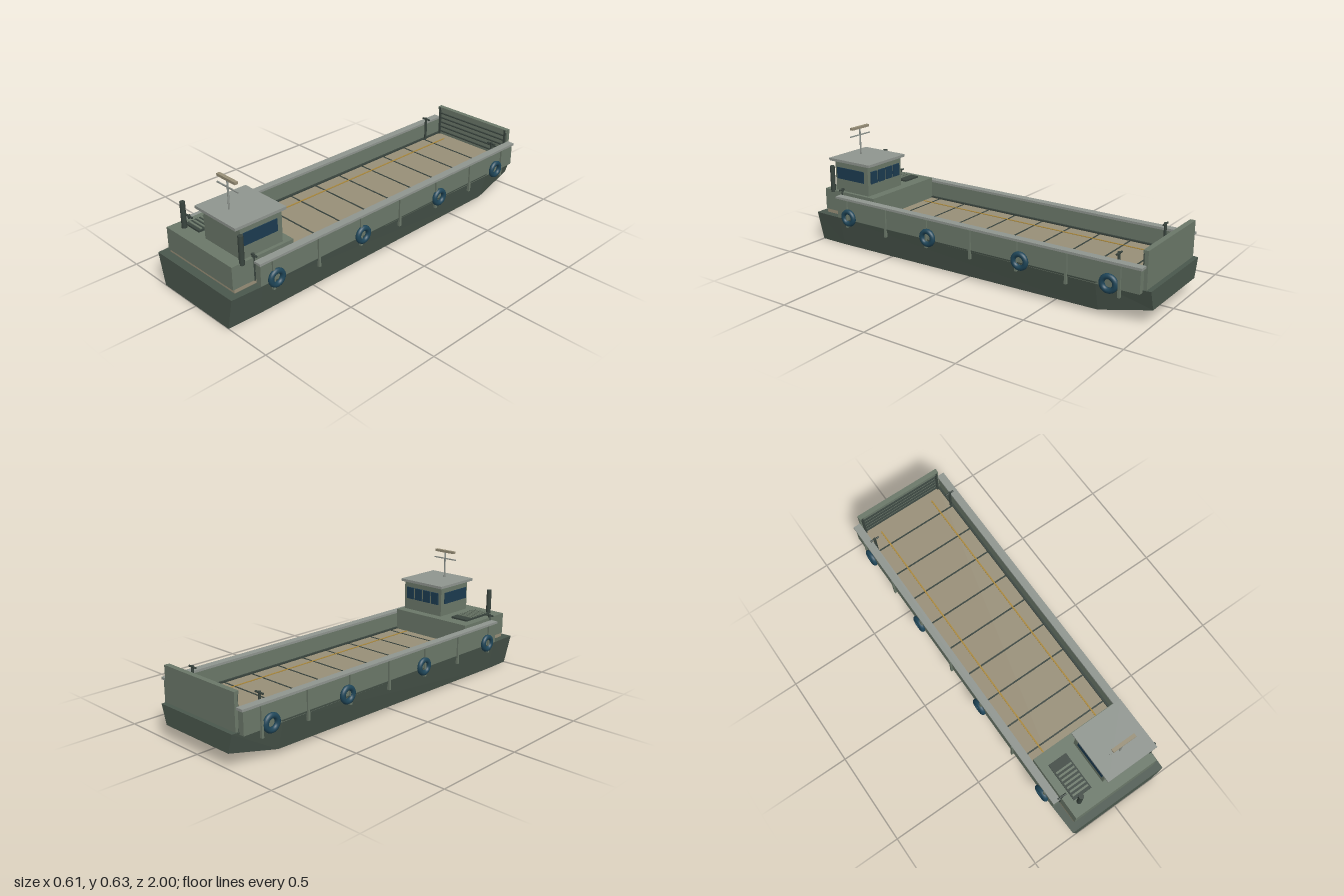
import * as THREE from 'three';

const mat = (name, color) => {
  const m = new THREE.MeshStandardMaterial({ color });
  m.name = name;
  return m;
};

export function createModel() {
  const model = new THREE.Group();
  model.name = 'landingBarge';
  const hullGreen = mat('hull dark green', 0x4a574d);
  const green = mat('superstructure green', 0x6b7869);
  const grey = mat('light grey', 0x8f958f);
  const tan = mat('deck tan', 0x988f78);
  const dark = mat('dark fittings', 0x39443e);
  const glass = mat('window blue', 0x1c3b50);
  const rubber = mat('fender blue', 0x1f4659);
  const yellow = mat('lane yellow', 0xa8873c);

  const add = (name, geo, m, x = 0, y = 0, z = 0) => {
    const mesh = new THREE.Mesh(geo, m);
    mesh.name = name;
    mesh.position.set(x, y, z);
    model.add(mesh);
    return mesh;
  };
  // Box given by its extents on each axis
  const box = (name, m, x0, x1, y0, y1, z0, z1) =>
    add(name, new THREE.BoxGeometry(Math.abs(x1 - x0), y1 - y0, Math.abs(z1 - z0)), m,
      (x0 + x1) / 2, (y0 + y1) / 2, (z0 + z1) / 2);
  const rod = (name, m, r, y0, y1, x, z) =>
    add(name, new THREE.CylinderGeometry(r, r, y1 - y0, 14), m, x, (y0 + y1) / 2, z);

  // Hull: trapezoid sections [z, half top, half bottom, y top, y bottom], stern to bow
  const sections = [
    [1, 0.28, 0.243, 0.165, 0], [0.83, 0.287, 0.25, 0.166, 0.002],
    [-0.74, 0.287, 0.25, 0.171, 0.02], [-1, 0.255, 0.225, 0.172, 0.075],
  ].map(([z, t, b, yt, yb]) => [[-b, yb, z], [b, yb, z], [t, yt, z], [-t, yt, z]]);
  const pos = [];
  const quad = (a, b, c, d) => pos.push(...a, ...b, ...c, ...a, ...c, ...d);
  quad(...sections[0]);
  quad(...[...sections[3]].reverse());
  for (let i = 0; i < 3; i++) {
    const p = sections[i], q = sections[i + 1];
    for (let k = 0; k < 4; k++) {
      const n = (k + 1) % 4;
      quad(p[n], p[k], q[k], q[n]);
    }
  }
  const hullGeo = new THREE.BufferGeometry();
  hullGeo.setAttribute('position', new THREE.Float32BufferAttribute(pos, 3));
  hullGeo.computeVertexNormals();
  add('hull', hullGeo, hullGreen);

  // Cargo deck with plate seams and lane stripes
  box('cargoDeck', tan, -0.245, 0.245, 0.16, 0.184, -0.962, 0.955);
  for (let i = 0; i < 9; i++) {
    const z = -0.818 + i * 0.1717;
    box('deckSeam', dark, -0.243, 0.243, 0.183, 0.186, z - 0.004, z + 0.004);
  }

  // Everything mirrored port and starboard
  for (const s of [-1, 1]) {
    box('laneStripe', yellow, s * 0.161, s * 0.169, 0.183, 0.187, -0.91, 0.61);
    box('bulwark', green, s * 0.252, s * 0.285, 0.16, 0.275, -0.96, 0.84);
    box('bulwarkCap', grey, s * 0.25, s * 0.291, 0.273, 0.285, -0.968, 0.845);
    box('coaming', dark, s * 0.24, s * 0.253, 0.165, 0.192, -0.96, 0.83);
    for (let i = 0; i < 7; i++) {
      const z = 0.77 - i * 0.272;
      box('bulwarkRib', green, s * 0.28, s * 0.294, 0.123, 0.274, z - 0.006, z + 0.006);
    }
    for (const z of [0.755, 0.215, -0.34, -0.81]) {
      const tyre = add('tyreFender', new THREE.TorusGeometry(0.034, 0.014, 10, 28), rubber, s * 0.292, 0.18, z);
      tyre.rotation.y = Math.PI / 2;
    }
    // Mooring bitts
    for (const z of [0.84, -0.83]) {
      rod('bittPost', dark, 0.007, 0.18, 0.318, s * 0.24, z);
      const bar = rod('bittBar', dark, 0.005, -0.025, 0.025, s * 0.239, z);
      bar.position.y = 0.311;
      bar.rotation.z = Math.PI / 2;
    }
    box('rampSideFrame', dark, s * 0.23, s * 0.241, 0.18, 0.352, -0.957, -0.948);
  }

  // Bow ramp with cross ribs on its inner face
  box('bowRamp', green, -0.25, 0.25, 0.172, 0.355, -0.976, -0.957);
  for (let i = 0; i < 5; i++) {
    const y = 0.205 + i * 0.028;
    box('rampRib', dark, -0.235, 0.235, y - 0.003, y + 0.003, -0.958, -0.949);
  }
  box('rampTopRail', green, -0.248, 0.248, 0.339, 0.355, -0.958, -0.949);

  // Stern deckhouse and wheelhouse
  box('deckhouse', green, -0.245, 0.245, 0.184, 0.3, 0.613, 0.963);
  box('wheelhouse', green, -0.036, 0.228, 0.3, 0.464, 0.662, 0.895);
  box('wheelhouseRoof', grey, -0.05, 0.24, 0.462, 0.476, 0.643, 0.928);
  box('sideWindow', glass, 0.227, 0.232, 0.367, 0.43, 0.69, 0.882);
  box('sideWindow', glass, -0.041, -0.035, 0.367, 0.43, 0.69, 0.882);
  for (let i = 0; i < 4; i++) {
    const x = -0.017 + i * 0.059;
    box('forwardWindow', glass, x, x + 0.048, 0.364, 0.43, 0.655, 0.663);
  }

  // Exhaust stacks
  for (const x of [-0.185, 0.243]) rod('exhaustStack', dark, 0.013, 0.29, 0.435, x, 0.905);

  // Engine hatch grating
  box('engineHatch', dark, -0.203, -0.097, 0.298, 0.309, 0.68, 0.887);
  for (let i = 0; i < 7; i++) {
    const z = 0.735 + i * 0.022;
    box('hatchSlat', green, -0.196, -0.104, 0.307, 0.313, z - 0.005, z + 0.005);
  }

  // Mast, yard and radar bar
  rod('mast', grey, 0.0045, 0.47, 0.622, 0.085, 0.84);
  box('mastYard', grey, 0.009, 0.161, 0.582, 0.588, 0.837, 0.843);
  box('radarBar', tan, 0.02, 0.15, 0.62, 0.633, 0.831, 0.849);

  return model;
}
